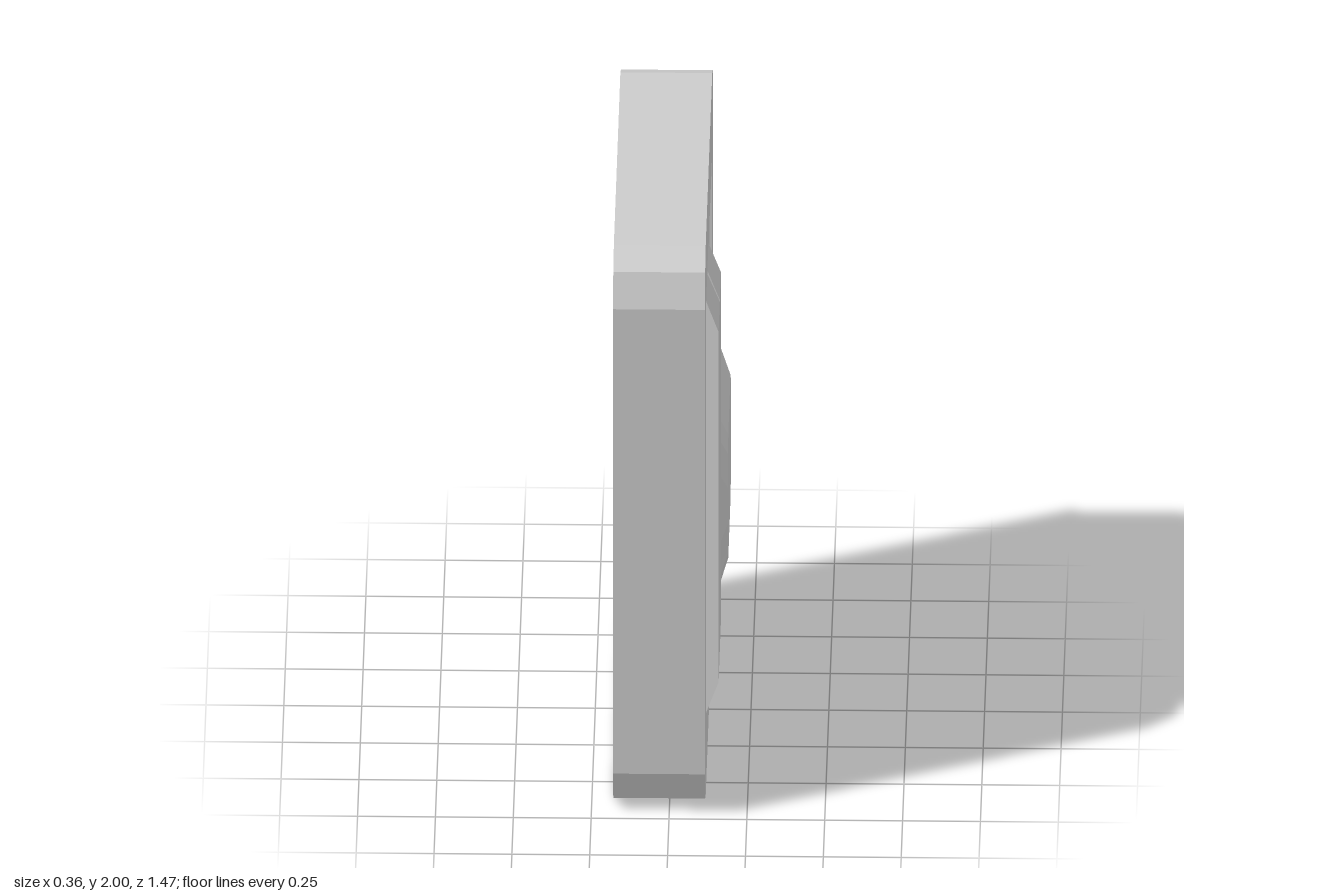
import * as THREE from 'three';

const FACE = 0.115; // depth of the face plate
const BACK = -0.18; // open rear rim

const material = new THREE.MeshStandardMaterial({ color: 0xcccccc, flatShading: true, side: THREE.DoubleSide });

// Outlines are [u, y] points, anticlockwise, where u = -z
const toVectors = (ring) => ring.map(([u, y]) => new THREE.Vector2(u, y));
const rect = (u0, u1, y0, y1) => [[u0, y0], [u1, y0], [u1, y1], [u0, y1]];

function addMesh(group, name, geometry) {
  const mesh = new THREE.Mesh(geometry, material);
  mesh.name = name;
  group.add(mesh);
}

// Flat panel at a depth, with optional holes
function panel(ring, depth, holes = []) {
  const shape = new THREE.Shape(toVectors(ring));
  holes.forEach((h) => shape.holes.push(new THREE.Path(toVectors(h))));
  return new THREE.ShapeGeometry(shape).translate(0, 0, depth);
}

// Band of faces joining two outlines with equal point counts
function band(ringA, depthA, ringB, depthB) {
  const pos = [];
  const n = ringA.length;
  for (let i = 0; i < n; i++) {
    const j = (i + 1) % n;
    const a = [...ringA[i], depthA], b = [...ringA[j], depthA];
    const c = [...ringB[j], depthB], d = [...ringB[i], depthB];
    pos.push(...a, ...b, ...c, ...a, ...c, ...d);
  }
  const geometry = new THREE.BufferGeometry();
  geometry.setAttribute('position', new THREE.Float32BufferAttribute(pos, 3));
  geometry.computeVertexNormals();
  return geometry;
}

export function createModel() {
  const group = new THREE.Group();
  group.name = 'panelCover';

  // Rounded outer outline: one corner mirrored to all four
  const corner = [[0.735, 0.845], [0.69, 0.957], [0.59, 1]];
  const flip = (su, sy) => corner.map(([u, y]) => [u * su, 1 + y * sy]);
  const outline = [
    ...flip(1, 1), ...flip(-1, 1).reverse(),
    ...flip(-1, -1), ...flip(1, -1).reverse(),
  ];

  // Shapes pressed into the face: base outline, far outline and its depth
  const bulgeBase = [
    [0.065, 0.305], [0.545, 0.305], [0.63, 0.36], [0.65, 0.5], [0.65, 0.92], [0.63, 1.04],
    [0.575, 1.095], [0.06, 1.095], [0.0, 1.045], [-0.015, 0.92], [-0.015, 0.505], [0.0, 0.37],
  ];
  const bulgeTop = [
    [0.115, 0.49], [0.52, 0.49], [0.575, 0.535], [0.595, 0.655], [0.598, 0.785], [0.575, 0.895],
    [0.52, 0.94], [0.115, 0.94], [0.065, 0.895], [0.04, 0.785], [0.04, 0.655], [0.065, 0.535],
  ];
  const window_ = rect(0.07, 0.56, 1.2, 1.72);
  const features = [
    { name: 'innerRib', base: rect(-0.287, -0.1, 0.255, 1.75), top: rect(-0.29, -0.1, 0.37, 1.645), depth: 0.155 },
    { name: 'outerRib', base: rect(-0.5, -0.31, 0.255, 1.75), top: rect(-0.51, -0.302, 0.37, 1.645), depth: 0.155 },
    { name: 'bulge', base: bulgeBase, top: bulgeTop, depth: 0.175 },
    { name: 'recess', base: window_, top: window_, depth: FACE - 0.018 },
  ];

  // Open-backed shell
  addMesh(group, 'rimWall', band(outline, BACK, outline, FACE));
  addMesh(group, 'facePlate', panel(outline, FACE, features.map((f) => f.base)));

  // Raised ribs and bulge, sunken square
  for (const { name, base, top, depth } of features) {
    addMesh(group, name + 'Sides', band(base, FACE, top, depth));
    addMesh(group, name + 'Panel', panel(top, depth));
  }

  // Turn the face towards +x
  group.children.forEach((m) => m.geometry.rotateY(Math.PI / 2));
  return group;
}
